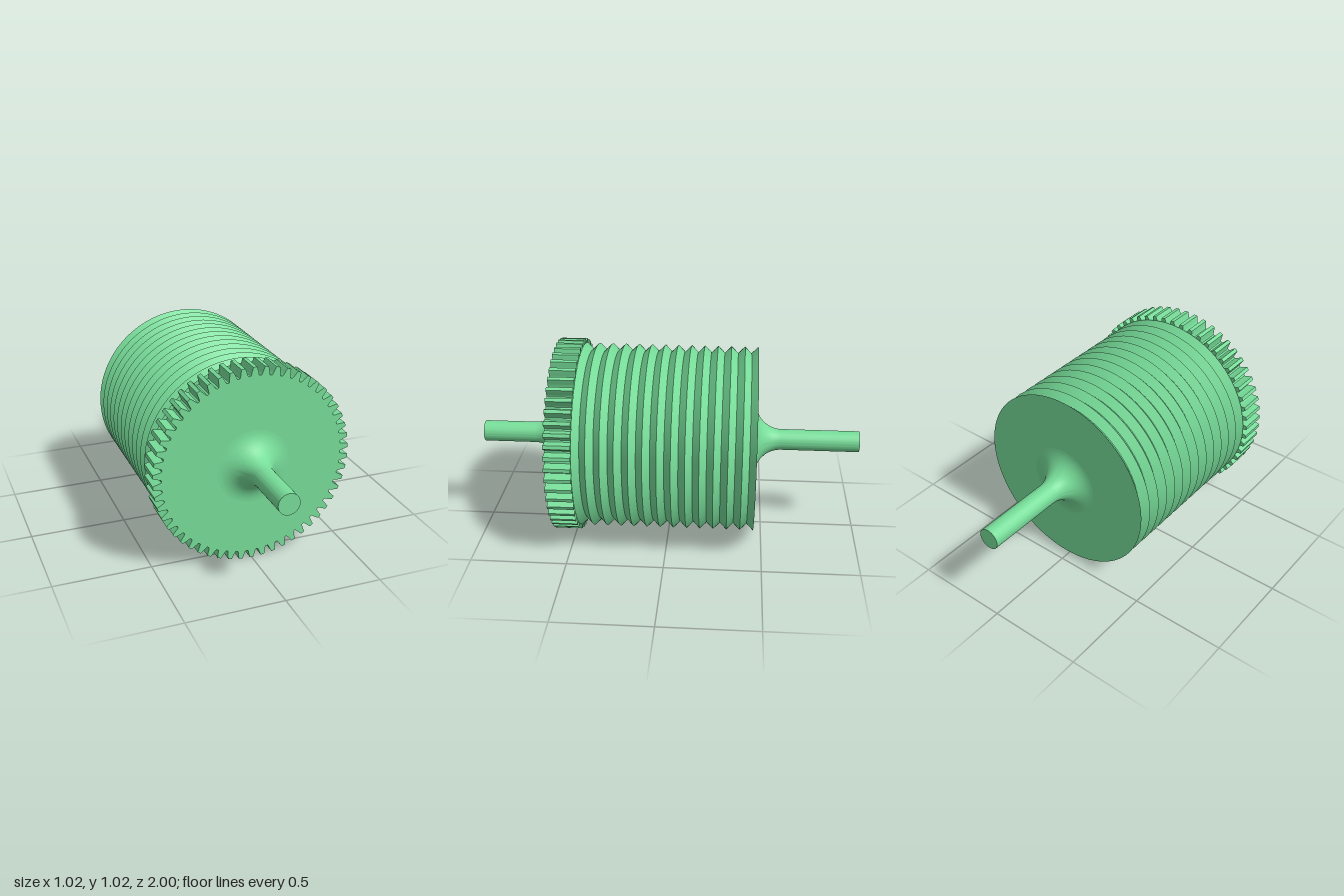
import * as THREE from 'three';
import { toCreasedNormals } from 'three/addons/utils/BufferGeometryUtils.js';

const AXIS_Y = 0.51;
const BODY_BACK = -0.455, GEAR_BACK = 0.455, GEAR_FRONT = 0.59;

export function createModel() {
  const group = new THREE.Group();
  group.name = 'wormGearRoller';
  const material = new THREE.MeshStandardMaterial({ color: 0x77dd99 });

  const add = (name, geometry) => {
    const mesh = new THREE.Mesh(geometry, material);
    mesh.name = name;
    mesh.position.y = AXIS_Y;
    group.add(mesh);
  };

  // Turns a [radius, z] profile, listed back to front, around the z axis
  const turn = (profile, segments) => {
    const points = profile.map(([r, z]) => new THREE.Vector2(r, z));
    return toCreasedNormals(new THREE.LatheGeometry(points, segments).rotateX(Math.PI / 2), 0.5);
  };

  // Ridged body: V-shaped rings with a ridge at each end
  const ridges = 13, pitch = (GEAR_BACK - BODY_BACK) / ridges;
  const body = [[0, BODY_BACK]];
  for (let i = 0; i <= ridges * 2; i++) {
    body.push([i % 2 ? 0.452 : 0.487, BODY_BACK + i * pitch / 2]);
  }
  body.push([0, GEAR_BACK]);
  add('ridgedBody', turn(body, 128));

  // Shaft running through, flaring with a quarter-round fillet onto each face
  const shaftR = 0.055, fillet = 0.135, steps = 14;
  const flare = (face, dir) => Array.from({ length: steps + 1 }, (_, i) => {
    const a = i / steps * Math.PI / 2;
    return [shaftR + fillet * (1 - Math.sin(a)), face + dir * fillet * (1 - Math.cos(a))];
  });
  add('shaft', turn([
    [0, -1], [shaftR, -1],
    ...flare(BODY_BACK, -1).reverse(),
    ...flare(GEAR_FRONT, 1),
    [shaftR, 1], [0, 1],
  ], 64));

  // Spur gear: one half tooth as [radius, half width], mirrored and repeated
  const teeth = 54;
  const half = [[0.467, 0.0225], [0.469, 0.0208], [0.475, 0.0185], [0.488, 0.0155], [0.5, 0.0125], [0.51, 0.0095]];
  const tooth = [
    ...half.map(([r, w]) => [r, -w]),
    ...half.slice().reverse(),
  ];
  const outline = [];
  for (let i = 0; i < teeth; i++) {
    const centre = Math.PI / 2 + i / teeth * Math.PI * 2;
    for (const [r, w] of tooth) {
      const a = centre + w / r;
      outline.push(new THREE.Vector2(r * Math.cos(a), r * Math.sin(a)));
    }
  }
  const gear = new THREE.ExtrudeGeometry(new THREE.Shape(outline), {
    depth: GEAR_FRONT - GEAR_BACK, bevelEnabled: false,
  }).translate(0, 0, GEAR_BACK);
  add('gear', toCreasedNormals(gear, 0.5));

  return group;
}
